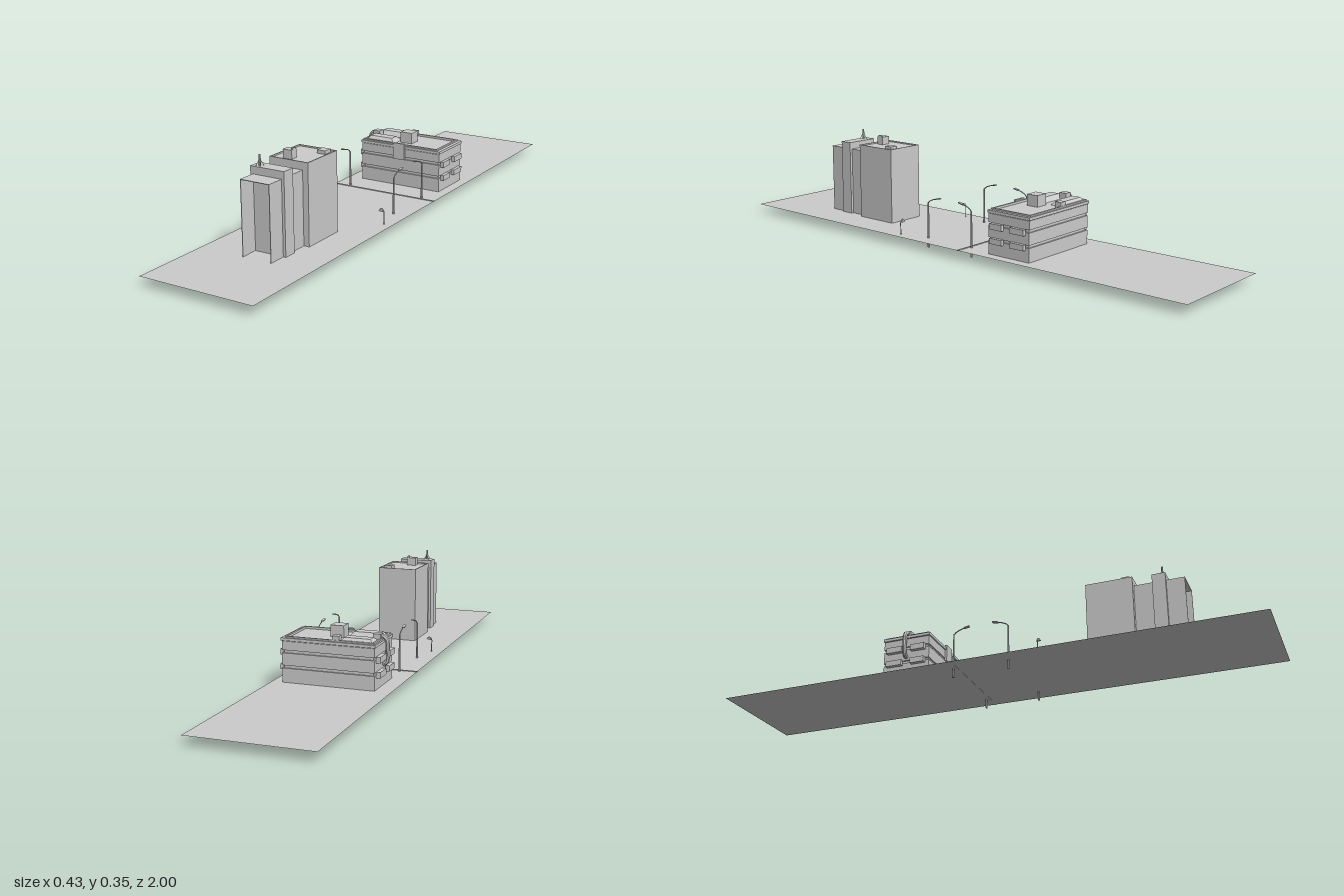
import * as THREE from 'three';

const GROUND = 0.034;
const mat = new THREE.MeshStandardMaterial({ color: 0xcccccc, flatShading: true, side: THREE.DoubleSide });

function add(parent, name, geometry) {
  const mesh = new THREE.Mesh(geometry, mat);
  mesh.name = name;
  parent.add(mesh);
  return mesh;
}

function group(parent, name) {
  const g = new THREE.Group();
  g.name = name;
  parent.add(g);
  return g;
}

// box given by its limits on each axis
function box(parent, name, x0, x1, y0, y1, z0, z1) {
  const geo = new THREE.BoxGeometry(x1 - x0, y1 - y0, z1 - z0);
  geo.translate((x0 + x1) / 2, (y0 + y1) / 2, (z0 + z1) / 2);
  return add(parent, name, geo);
}

// rectangular rim around a flat roof
function parapet(parent, x0, x1, y0, y1, z0, z1, t) {
  const rect = (Type, d) => new Type([
    new THREE.Vector2(x0 + d, -z1 + d), new THREE.Vector2(x1 - d, -z1 + d),
    new THREE.Vector2(x1 - d, -z0 - d), new THREE.Vector2(x0 + d, -z0 - d)]);
  const shape = rect(THREE.Shape, 0);
  shape.holes.push(rect(THREE.Path, t));
  const geo = new THREE.ExtrudeGeometry(shape, { depth: y1 - y0, bevelEnabled: false });
  geo.rotateX(-Math.PI / 2).translate(0, y0, 0);
  return add(parent, 'parapet', geo);
}

// box whose top is drawn in on all sides
function hippedBlock(parent, name, x0, x1, y0, y1, z0, z1, inset) {
  const mesh = box(parent, name, x0, x1, y0, y1, z0, z1);
  const p = mesh.geometry.attributes.position;
  const mx = (x0 + x1) / 2, mz = (z0 + z1) / 2;
  for (let i = 0; i < p.count; i++) {
    if (p.getY(i) < (y0 + y1) / 2) continue;
    p.setX(i, p.getX(i) - Math.sign(p.getX(i) - mx) * inset);
    p.setZ(i, p.getZ(i) - Math.sign(p.getZ(i) - mz) * inset);
  }
  mesh.geometry.computeVertexNormals();
  return mesh;
}

// round bar following a list of points
function pipe(parent, name, points, radius, sides = 6, segments = 16) {
  const curve = new THREE.CatmullRomCurve3(points.map(p => new THREE.Vector3(...p)), false, 'centripetal');
  return add(parent, name, new THREE.TubeGeometry(curve, segments, radius, sides));
}

function buildTower(root) {
  const tower = group(root, 'tower');
  // main block with a rimmed roof
  box(tower, 'mainBlock', -0.063, 0.087, GROUND, 0.313, 0.36, 0.53);
  parapet(tower, -0.063, 0.087, 0.313, 0.318, 0.36, 0.53, 0.004);
  // stepped wings in front
  box(tower, 'connectingBlock', -0.045, 0.066, GROUND, 0.291, 0.53, 0.597);
  box(tower, 'frontBlock', -0.054, 0.076, GROUND, 0.317, 0.597, 0.645);
  // open-fronted bay
  const bay = group(tower, 'openBay');
  for (const x of [-0.045, 0.064]) box(bay, 'bayWall', x, x + 0.002, GROUND, 0.291, 0.645, 0.71);
  box(bay, 'bayRoof', -0.045, 0.066, 0.289, 0.291, 0.645, 0.71);
  // rooftop units
  box(tower, 'stairHousing', -0.024, 0.011, 0.313, 0.343, 0.483, 0.51);
  box(tower, 'housingVent', 0.006, 0.011, 0.343, 0.349, 0.488, 0.505);
  box(tower, 'roofUnit', 0.04, 0.071, 0.313, 0.325, 0.375, 0.408);
  // braced antenna
  const antenna = group(tower, 'antenna');
  antenna.position.set(-0.027, 0.317, 0.63);
  const mast = add(antenna, 'mast', new THREE.CylinderGeometry(0.0035, 0.0035, 0.037, 8));
  mast.position.y = 0.0185;
  for (let i = 0; i < 4; i++) {
    const a = Math.PI / 4 + i * Math.PI / 2;
    pipe(antenna, 'brace', [[0, 0.024, 0], [Math.cos(a) * 0.013, 0, Math.sin(a) * 0.013]], 0.001, 4, 1);
  }
}

function buildOffice(root) {
  const office = group(root, 'officeBlock');
  const [x0, x1, z0, z1] = [-0.157, 0.175, -0.375, -0.198];
  const r = 0.006;
  // recessed core shows as dark slots between the storeys
  box(office, 'core', x0 + r, x1 - r, GROUND, 0.187, z0 + r, z1 - r);
  for (const [a, b] of [[GROUND, 0.084], [0.094, 0.137], [0.147, 0.178]]) {
    box(office, 'storey', x0, x1, a, b, z0, z1);
  }
  // cornice and roof rim
  parapet(office, x0 - 0.003, x1 + 0.003, 0.18, 0.19, z0 - 0.003, z1 + 0.003, 0.012);
  parapet(office, x0 + 0.003, x1 - 0.01, 0.187, 0.195, z0 + 0.003, z1 - 0.003, 0.007);
  // protruding window bays on both ends
  for (const [a, b] of [[0.075, 0.095], [0.126, 0.147]]) {
    for (const [c, d] of [[-0.265, -0.212], [-0.36, -0.3]]) {
      box(office, 'windowBay', x1, x1 + 0.013, a, b, c, d);
      box(office, 'windowBay', x0 - 0.015, x0, a, b, c, d);
    }
  }
  // panel on the street side
  box(office, 'frontPanel', -0.018, 0.03, 0.137, 0.199, -0.2, -0.191);
  // skylights and rooftop boxes
  for (const [c, d] of [[-0.37, -0.308], [-0.277, -0.213]]) {
    hippedBlock(office, 'skylight', -0.15, -0.03, 0.187, 0.204, c, d, 0.014);
  }
  box(office, 'plantRoom', -0.018, 0.03, 0.187, 0.228, -0.295, -0.25);
  box(office, 'roofVent', -0.03, -0.005, 0.187, 0.209, -0.37, -0.345);
  // duct from the roof down the end wall
  box(office, 'ductBox', -0.152, -0.125, 0.187, 0.211, -0.302, -0.273);
  pipe(office, 'duct', [[-0.14, 0.202, -0.287], [-0.158, 0.201, -0.287], [-0.171, 0.187, -0.287],
    [-0.173, 0.16, -0.287], [-0.173, 0.13, -0.287], [-0.167, 0.112, -0.287], [-0.15, 0.106, -0.287]], 0.008, 8, 28);
}

function buildLamps(root) {
  // tall street lamps leaning over the road
  for (const x of [-0.153, 0.155]) for (const s of [1, -1]) {
    const lamp = group(root, 'streetLamp');
    const pole = add(lamp, 'pole', new THREE.CylinderGeometry(0.0025, 0.004, 0.166, 8));
    pole.position.set(x, 0.083, s * 0.103);
    pipe(lamp, 'arm', [[x, 0.164, s * 0.103], [x, 0.172, s * 0.095], [x, 0.18, s * 0.078], [x, 0.185, s * 0.06]], 0.002);
    const head = box(lamp, 'lampHead', -0.005, 0.005, -0.002, 0.002, -0.01, 0.01);
    head.position.set(x, 0.186, s * 0.054);
    head.rotation.x = s * 0.2;
  }
  // short hooked path lamps
  for (const s of [1, -1]) {
    const lamp = group(root, 'pathLamp');
    lamp.position.set(s * 0.183 + (s < 0 ? 0.008 : 0), 0, 0.217);
    pipe(lamp, 'hookedPole', [[0, GROUND, 0], [0, 0.065, 0], [0, 0.078, 0], [-s * 0.004, 0.086, 0], [-s * 0.012, 0.089, 0]], 0.0018);
    const head = add(lamp, 'lampShade', new THREE.CylinderGeometry(0.004, 0.009, 0.009, 8));
    head.position.set(-s * 0.01, 0.085, 0);
    head.rotation.z = -s * 0.3;
  }
}

export function createModel() {
  const root = new THREE.Group();
  root.name = 'streetScene';
  // ground sheet and low kerb
  const ground = add(root, 'ground', new THREE.PlaneGeometry(0.428, 2));
  ground.rotation.x = -Math.PI / 2;
  ground.position.y = GROUND;
  box(root, 'kerb', -0.214, 0.214, GROUND - 0.001, GROUND + 0.002, -0.093, -0.087);
  buildTower(root);
  buildOffice(root);
  buildLamps(root);
  return root;
}
